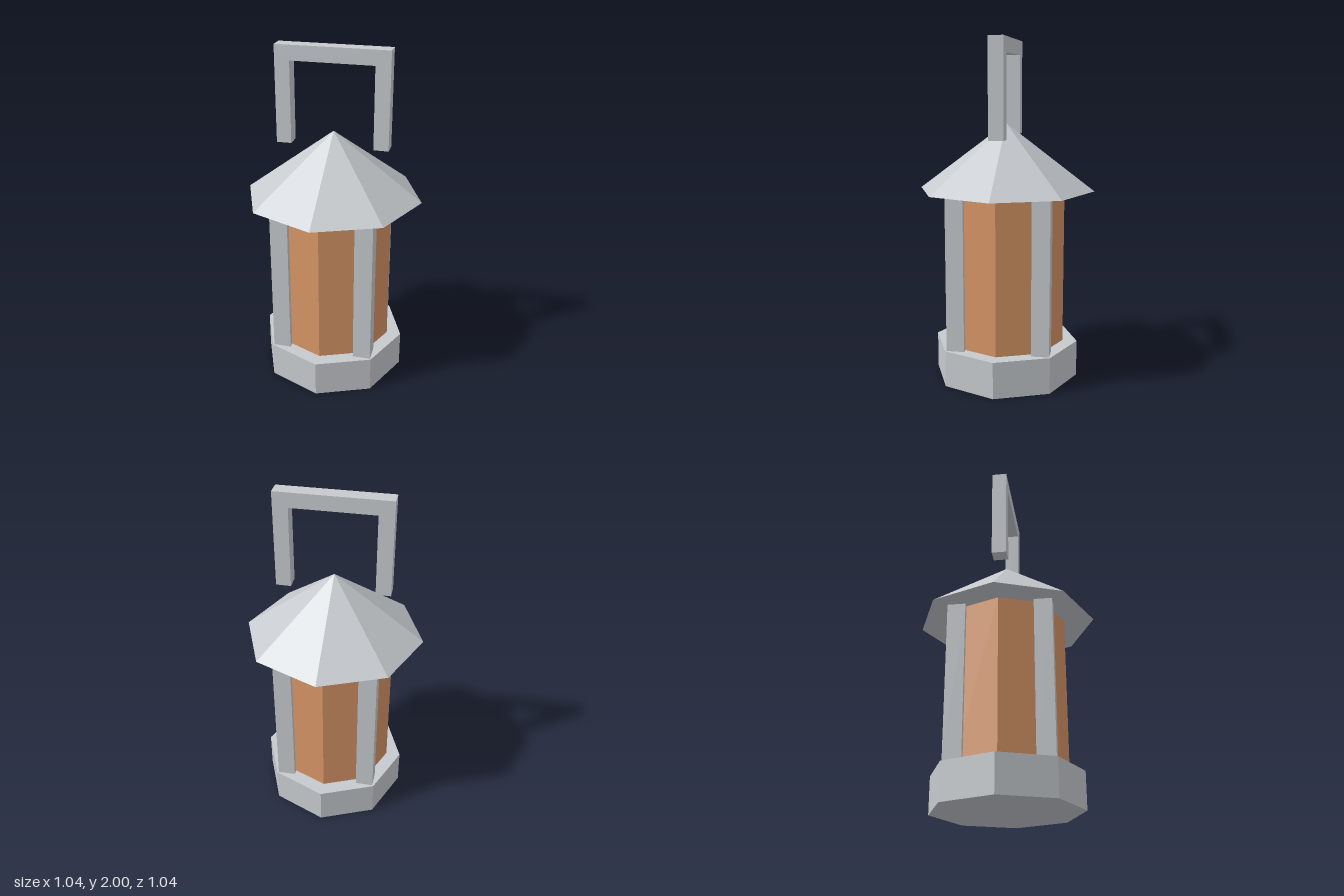
import * as THREE from 'three';

const metal = new THREE.MeshStandardMaterial({ name: 'grey metal', color: 0xc6cace, flatShading: true });
const amber = new THREE.MeshStandardMaterial({ name: 'amber glass', color: 0xd69565, flatShading: true });

const SIDES = 8;
const BASE_TOP = 0.215, EAVES = 1.13, APEX = 1.52;

export function createModel() {
  const lantern = new THREE.Group();
  lantern.name = 'lantern';

  const add = (name, geometry, material, x, y, z, parent = lantern) => {
    const mesh = new THREE.Mesh(geometry, material);
    mesh.name = name;
    mesh.position.set(x, y, z);
    parent.add(mesh);
  };
  const bodyHeight = EAVES - BASE_TOP, bodyMiddle = (EAVES + BASE_TOP) / 2;

  // Octagonal foot, glass body and pointed roof
  add('base', new THREE.CylinderGeometry(0.432, 0.432, BASE_TOP, SIDES), metal, 0, BASE_TOP / 2, 0);
  add('glass', new THREE.CylinderGeometry(0.346, 0.346, bodyHeight, SIDES), amber, 0, bodyMiddle, 0);
  add('roof', new THREE.ConeGeometry(0.52, APEX - EAVES, SIDES), metal, 0, (EAVES + APEX) / 2, 0);

  // Four square posts on the diagonals
  const postGeometry = new THREE.BoxGeometry(0.104, bodyHeight, 0.104);
  for (const x of [-1, 1]) {
    for (const z of [-1, 1]) add('post', postGeometry, metal, x * 0.247, bodyMiddle, z * 0.247);
  }

  // Carrying handle, an upside-down U floating over the roof
  const w = 0.325, t = 0.086, bottom = 1.44, top = 2;
  const outline = new THREE.Shape([
    [-w, bottom], [-w + t, bottom], [-w + t, top - t], [w - t, top - t],
    [w - t, bottom], [w, bottom], [w, top], [-w, top],
  ].map(([x, y]) => new THREE.Vector2(x, y)));
  add('handle', new THREE.ExtrudeGeometry(outline, { depth: t, bevelEnabled: false }), metal, 0, 0, -t / 2);

  return lantern;
}
